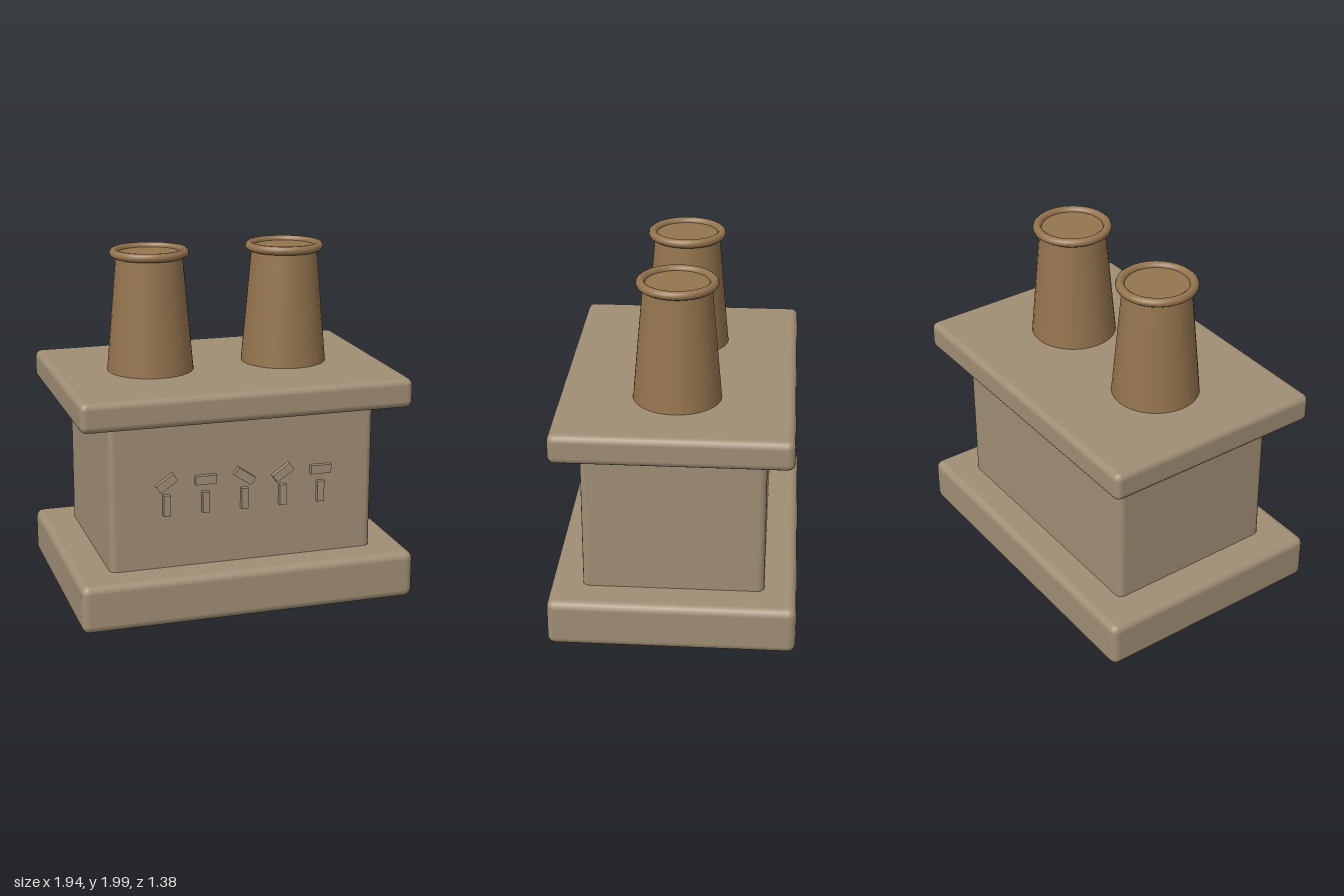
import * as THREE from 'three';
import { RoundedBoxGeometry } from 'three/addons/geometries/RoundedBoxGeometry.js';

export function createModel() {
  const model = new THREE.Group();
  model.name = 'chimney';

  const stone = new THREE.MeshStandardMaterial({ color: 0xa08e75 });
  stone.name = 'stone';
  const clay = new THREE.MeshStandardMaterial({ color: 0x94744e });
  clay.name = 'clay';

  function add(parent, name, geometry, material, x, y, z) {
    const mesh = new THREE.Mesh(geometry, material);
    mesh.name = name;
    mesh.position.set(x, y, z);
    parent.add(mesh);
    return mesh;
  }

  // Stacked stone blocks with softened edges
  function block(name, width, bottom, top, depth, radius) {
    const geometry = new RoundedBoxGeometry(width, top - bottom, depth, 2, radius);
    add(model, name, geometry, stone, 0, (bottom + top) / 2, 0);
  }
  block('base', 1.94, 0.01, 0.285, 1.385, 0.045);
  block('body', 1.54, 0.2, 1.14, 1.02, 0.04);
  block('capSlab', 1.9, 1.135, 1.305, 1.315, 0.04);

  // Two tapered pots, each with a rolled rim and a closed mouth
  for (const side of [-1, 1]) {
    const pot = new THREE.Group();
    pot.name = side > 0 ? 'leftPot' : 'rightPot';
    pot.position.x = side * 0.4;
    add(pot, 'potWall', new THREE.CylinderGeometry(0.187, 0.247, 0.675, 32), clay, 0, 1.6375, 0);
    const rim = add(pot, 'potRim', new THREE.TorusGeometry(0.2, 0.025, 10, 32), clay, 0, 1.975, 0);
    rim.rotation.x = Math.PI / 2;
    model.add(pot);
  }

  // Row of raised marks on the front: an upright stroke under a tilted one
  const marks = new THREE.Group();
  marks.name = 'frontMarks';
  [0.6, 0, -0.6, 0.6, 0].forEach((tilt, i) => {
    const x = (i - 2) * 0.225;
    add(marks, 'uprightStroke', new THREE.BoxGeometry(0.04, 0.12, 0.03), stone, x, 0.655, 0.524);
    const top = add(marks, 'tiltedStroke', new THREE.BoxGeometry(0.12, 0.05, 0.03), stone, x, 0.785, 0.524);
    top.rotation.z = tilt;
  });
  model.add(marks);

  return model;
}
